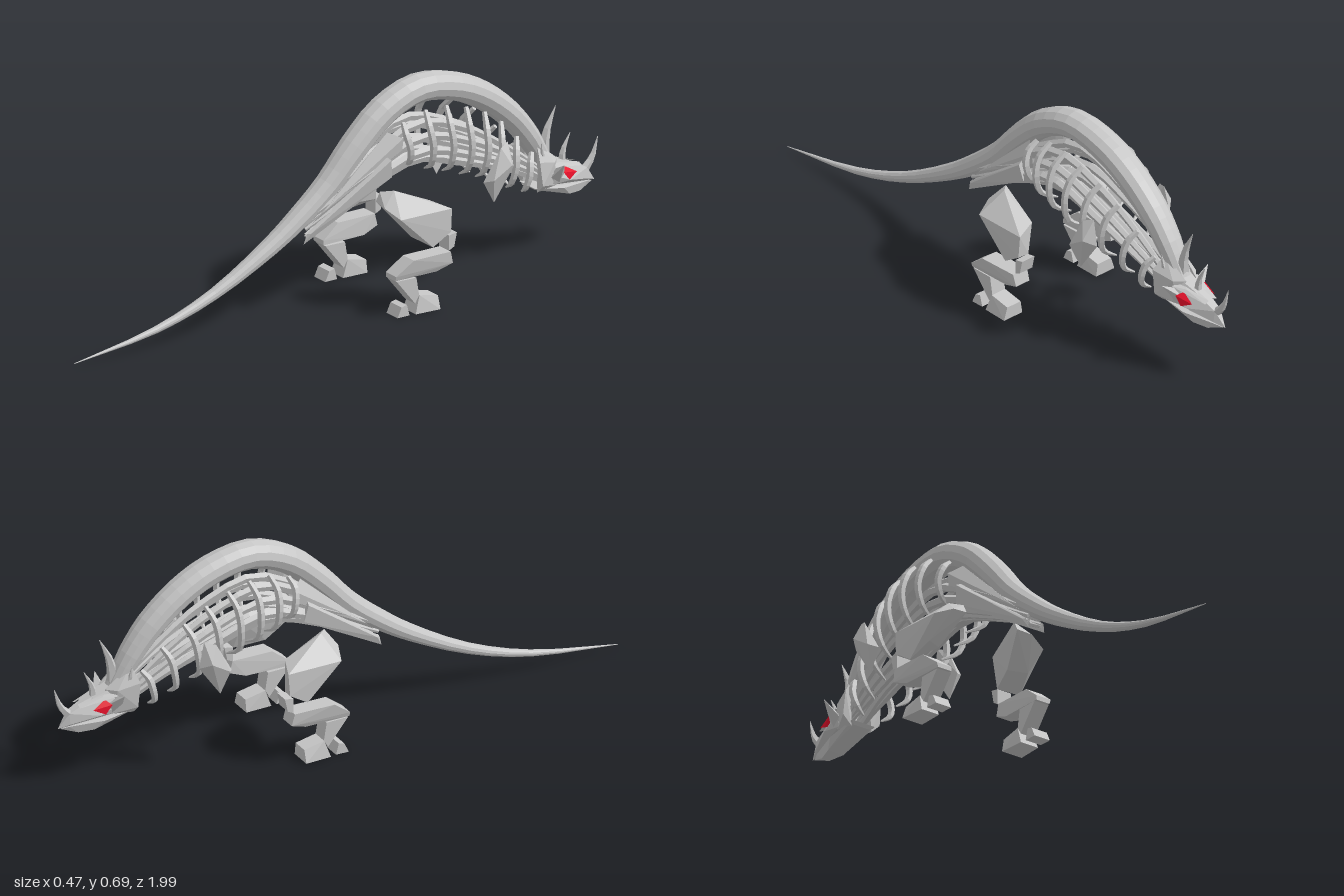
import * as THREE from 'three';
import { ConvexGeometry } from 'three/addons/geometries/ConvexGeometry.js';

const V = (p) => new THREE.Vector3(p[0], p[1], p[2]);

// Tapered tube: radii are spread evenly along the curve's control points
function loft(points, radii, steps, sides) {
  const curve = new THREE.CatmullRomCurve3(points.map(V), false, 'centripetal');
  const T = [], N = [], B = [], pos = [], idx = [];
  for (let i = 0; i <= steps; i++) {
    T[i] = curve.getTangent(i / steps);
    // carry the frame along the curve
    const prev = i ? N[i - 1] : new THREE.Vector3(1, 0, 0).cross(T[0]).normalize();
    N[i] = prev.clone().addScaledVector(T[i], -prev.dot(T[i])).normalize();
    B[i] = new THREE.Vector3().crossVectors(T[i], N[i]);
    const c = curve.getPoint(i / steps);
    const f = (i / steps) * (radii.length - 1), k = Math.min(Math.floor(f), radii.length - 2);
    const r = THREE.MathUtils.lerp(radii[k], radii[k + 1], f - k);
    for (let j = 0; j < sides; j++) {
      const a = (j / sides) * Math.PI * 2;
      const p = c.clone().addScaledVector(N[i], r * Math.cos(a)).addScaledVector(B[i], r * Math.sin(a));
      pos.push(p.x, p.y, p.z);
    }
  }
  for (let i = 0; i < steps; i++) for (let j = 0; j < sides; j++) {
    const a = i * sides + j, b = i * sides + (j + 1) % sides;
    idx.push(a, b, a + sides, b, b + sides, a + sides);
  }
  // end caps
  for (let j = 1; j < sides - 1; j++) {
    const e = steps * sides;
    idx.push(0, j + 1, j, e, e + j, e + j + 1);
  }
  const g = new THREE.BufferGeometry();
  g.setAttribute('position', new THREE.Float32BufferAttribute(pos, 3));
  g.setIndex(idx);
  g.computeVertexNormals();
  return g;
}

export function createModel() {
  const model = new THREE.Group();
  model.name = 'skeletalBeast';
  const metal = new THREE.MeshStandardMaterial({ color: 0xc6c6c6, flatShading: true });
  metal.name = 'light grey';
  const red = new THREE.MeshStandardMaterial({ color: 0xf2102c, flatShading: true });
  red.name = 'eye red';

  const add = (name, geo, mat = metal) => {
    const m = new THREE.Mesh(geo, mat);
    m.name = name;
    model.add(m);
    return m;
  };
  const hull = (name, pts, mat) => add(name, new ConvexGeometry(pts.map(V)), mat);
  // block: side outline of [y, z] points, between two x values (or x pairs per point)
  const block = (name, s, outline, x0, x1) =>
    hull(name, outline.flatMap(([y, z, in_ = x0, out = x1]) => [[s * in_, y, z], [s * out, y, z]]));
  const spike = (name, base, mid, tip, r) => add(name, loft([base, mid, tip], [r, r * 0.65, 0.001], 5, 5));

  // Spine and tail: one arched, tapering body
  const spine = [[0.99, 0.015, 0.001], [0.68, 0.06, 0.011], [0.46, 0.131, 0.018], [0.25, 0.24, 0.028],
    [0.14, 0.313, 0.034], [0.03, 0.40, 0.039], [-0.07, 0.505, 0.044], [-0.18, 0.60, 0.046],
    [-0.31, 0.648, 0.046], [-0.45, 0.625, 0.046], [-0.56, 0.57, 0.045], [-0.66, 0.487, 0.043],
    [-0.73, 0.40, 0.038], [-0.79, 0.30, 0.028]];
  add('spineAndTail', loft(spine.map(([z, y]) => [0, y, z]), spine.map((p) => p[2]), 39, 12)).scale.x = 1.17;

  // Ribs: [z, top y, bottom y, outer x, lean]
  const ribs = [[-0.21, 0.575, 0.43, 0.115, -0.02], [-0.285, 0.605, 0.405, 0.14, -0.01],
    [-0.36, 0.605, 0.385, 0.15, 0], [-0.435, 0.585, 0.36, 0.15, 0.01], [-0.51, 0.55, 0.335, 0.138, 0.02],
    [-0.58, 0.50, 0.30, 0.12, 0.03], [-0.65, 0.43, 0.265, 0.095, 0.03], [-0.715, 0.36, 0.235, 0.075, 0.03]];

  for (const s of [1, -1]) {
    const side = s > 0 ? 'left' : 'right';

    for (const [z, top, low, w, lean] of ribs) {
      const h = top - low, bow = 0.012;
      add(side + 'Rib', loft([[s * w * 0.6, top, z], [s * w * 0.87, top - h * 0.2, z + lean * 0.2 + bow],
        [s * w, top - h * 0.5, z + lean * 0.5 + bow], [s * w * 0.87, low + h * 0.18, z + lean * 0.8 + bow],
        [s * w * 0.45, low, z + lean]], [0.008, 0.012, 0.012, 0.01, 0.003], 12, 5));
    }

    // Sinew strands under the spine, from the tail root to the neck
    for (const [x, y] of [[0.015, 0.425], [0.045, 0.435], [0.07, 0.465], [0.065, 0.51], [0.035, 0.545]]) {
      const d = (y - 0.42) * 0.6;
      add(side + 'Sinew', loft([[s * 0.025, 0.255 + d, 0.13], [s * x * 0.85, 0.36 + d * 1.2, -0.08],
        [s * x, y, -0.28], [s * x, y - 0.05, -0.46], [s * x * 0.8, 0.31 + d, -0.64],
        [s * 0.025, 0.235 + d * 0.4, -0.79]], [0.006, 0.015, 0.015, 0.013, 0.011, 0.008], 14, 5));
    }
    // Flat hip straps
    hull(side + 'HipStrap', [[s * 0.03, 0.235, 0.14], [s * 0.042, 0.27, 0.12], [s * 0.035, 0.27, 0.13],
      [s * 0.092, 0.47, -0.15], [s * 0.055, 0.485, -0.14], [s * 0.082, 0.41, -0.16], [s * 0.06, 0.40, -0.14]]);
    hull(side + 'UpperStrap', [[s * 0.035, 0.30, 0.11], [s * 0.045, 0.33, 0.08],
      [s * 0.085, 0.53, -0.2], [s * 0.055, 0.55, -0.16], [s * 0.08, 0.49, -0.2], [s * 0.055, 0.5, -0.16]]);

    // Shoulder blade spike
    hull(side + 'ShoulderSpike', [[s * 0.15, 0.465, -0.55], [s * 0.165, 0.455, -0.515], [s * 0.19, 0.40, -0.54],
      [s * 0.155, 0.38, -0.57], [s * 0.185, 0.36, -0.475], [s * 0.155, 0.35, -0.455], [s * 0.155, 0.275, -0.495]]);

    // Thigh: a slab leaning outward and forward
    hull(side + 'Thigh', [[0.10, 0.38, -0.10], [0.135, 0.388, -0.13], [0.10, 0.35, -0.085], [0.155, 0.345, -0.08],
      [0.215, 0.32, -0.10], [0.22, 0.32, -0.29], [0.14, 0.33, -0.26], [0.135, 0.255, -0.18],
      [0.195, 0.25, -0.15], [0.217, 0.205, -0.22], [0.222, 0.245, -0.285], [0.17, 0.235, -0.275]]
      .map(([x, y, z]) => [s * x, y, z]));
    // Lower leg, from knee to toes
    block(side + 'Knee', s, [[0.24, -0.305], [0.235, -0.275], [0.185, -0.275], [0.195, -0.295]], 0.172, 0.225);
    block(side + 'Shin', s, [[0.185, -0.275, 0.175, 0.235], [0.145, -0.285, 0.175, 0.232],
      [0.125, -0.23, 0.17, 0.222], [0.125, -0.075, 0.168, 0.22], [0.14, -0.075, 0.168, 0.225],
      [0.185, -0.135, 0.175, 0.235]], 0.17, 0.23);
    block(side + 'Ankle', s, [[0.122, -0.08], [0.12, -0.155], [0.06, -0.165], [0.035, -0.15]], 0.165, 0.22);
    block(side + 'Heel', s, [[0.04, -0.115], [0.035, -0.095], [0.003, -0.08], [0.003, -0.125]], 0.165, 0.225);
    block(side + 'Toes', s, [[0.06, -0.165, 0.165, 0.222], [0.045, -0.235, 0.165, 0.222],
      [0.003, -0.235, 0.158, 0.236], [0.003, -0.145, 0.162, 0.23]]);

    // Head side pieces
    hull(side + 'CheekSpike', [[s * 0.045, 0.265, -0.84], [s * 0.045, 0.235, -0.82], [s * 0.1, 0.315, -0.802],
      [s * 0.04, 0.25, -0.78], [s * 0.05, 0.29, -0.805]]);
    hull(side + 'NeckPlate', [[s * 0.03, 0.38, -0.745], [s * 0.07, 0.33, -0.73], [s * 0.072, 0.25, -0.74],
      [s * 0.04, 0.22, -0.74], [s * 0.05, 0.31, -0.80], [s * 0.04, 0.23, -0.81], [s * 0.02, 0.31, -0.83]]);
    hull(side + 'Brow', [[s * 0.012, 0.305, -0.82], [s * 0.055, 0.295, -0.80], [s * 0.034, 0.293, -0.845],
      [s * 0.026, 0.268, -0.92], [s * 0.01, 0.275, -0.92]]);
    hull(side + 'Eye', [[s * 0.063, 0.275, -0.825], [s * 0.042, 0.287, -0.842], [s * 0.048, 0.262, -0.885],
      [s * 0.062, 0.246, -0.848], [s * 0.03, 0.26, -0.85]], red);
    spike(side + 'CrownSpike', [s * 0.03, 0.30, -0.77], [s * 0.045, 0.34, -0.755], [s * 0.05, 0.385, -0.75], 0.013);
  }

  // Skull and jaw
  const head = (x, y, z) => [[x, y, z], [-x, y, z]];
  hull('skull', [...head(0.03, 0.32, -0.79), ...head(0.055, 0.27, -0.79), ...head(0.052, 0.24, -0.86),
    ...head(0.045, 0.235, -0.8), ...head(0.02, 0.29, -0.87), ...head(0.012, 0.25, -0.95),
    ...head(0.018, 0.215, -0.95), [0, 0.2, -0.985]]);
  hull('jaw', [...head(0.045, 0.235, -0.73), ...head(0.045, 0.215, -0.84), ...head(0.03, 0.185, -0.87),
    ...head(0.03, 0.225, -0.74), ...head(0.015, 0.18, -0.92), ...head(0.012, 0.205, -0.95), [0, 0.198, -0.975]]);

  // Horns along the middle of the head
  spike('crownHorn', [0, 0.30, -0.79], [0, 0.39, -0.80], [0, 0.475, -0.838], 0.022);
  spike('browHorn', [0, 0.27, -0.86], [0, 0.32, -0.865], [0, 0.375, -0.893], 0.015);
  spike('noseHorn', [0, 0.235, -0.94], [0, 0.275, -0.975], [0, 0.34, -0.998], 0.016);

  return model;
}
